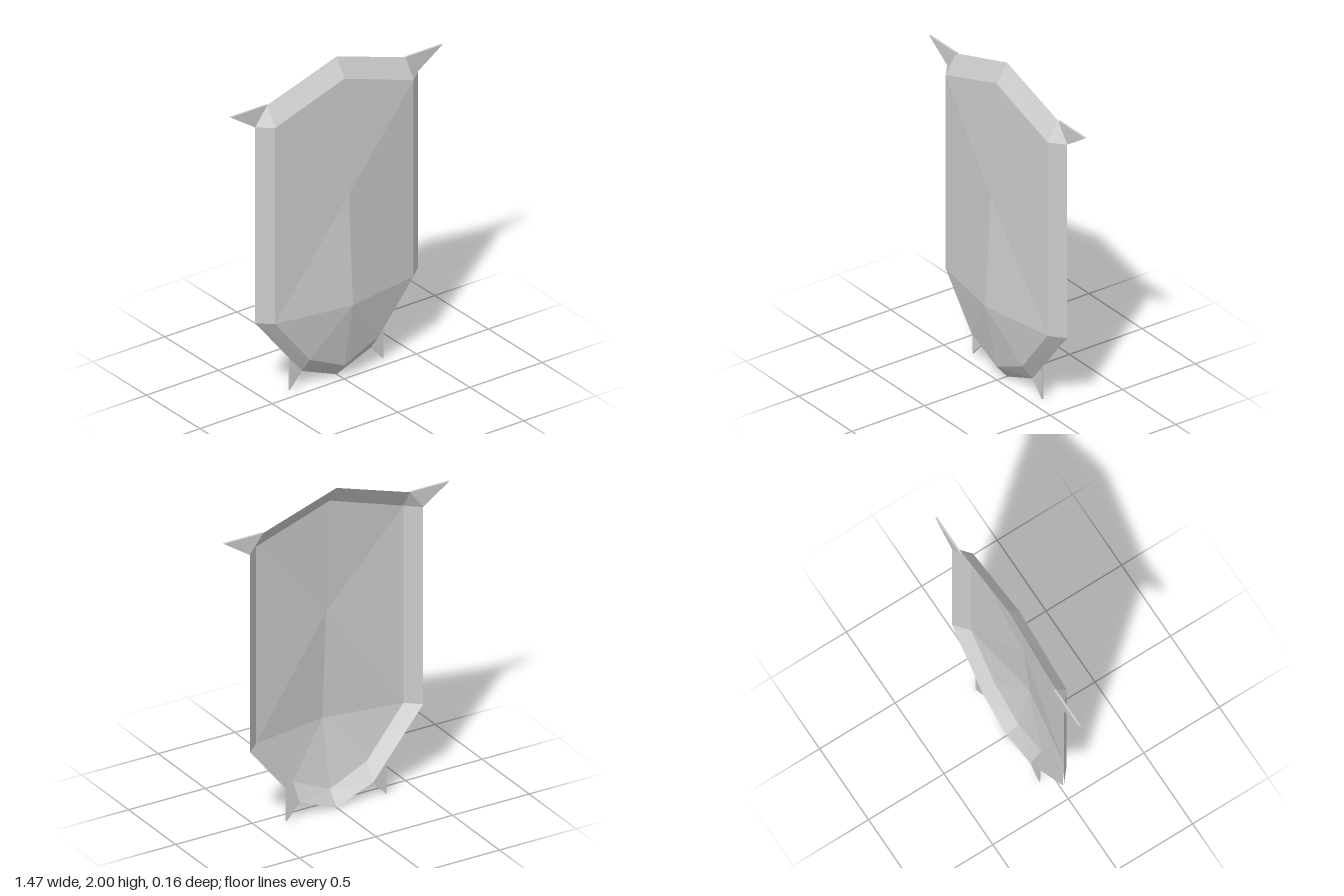
import * as THREE from 'three';

const T = 0.012; // sheet thickness
const material = new THREE.MeshStandardMaterial({ color: 0xcccccc, flatShading: true });

// Thin sheet from the triangles of its +x half: mirrored across x, with a back layer,
// and side walls along the outline given as a run of points.
function sheet(name, triangles, outline = []) {
  const pos = [];
  const back = ([x, y, z]) => [x, y, z - T];
  const add = (a, b, c) => {
    pos.push(...a, ...b, ...c);
    for (const [x, y, z] of [a, c, b]) pos.push(-x, y, z);
  };
  for (const [a, b, c] of triangles) {
    add(a, b, c);
    add(back(a), back(c), back(b));
  }
  // outline runs clockwise seen from the front
  for (let i = 0; i < outline.length - 1; i++) {
    const a = outline[i], b = outline[i + 1];
    add(a, back(a), back(b));
    add(a, back(b), b);
  }
  const geometry = new THREE.BufferGeometry();
  geometry.setAttribute('position', new THREE.Float32BufferAttribute(pos, 3));
  geometry.computeVertexNormals();
  const mesh = new THREE.Mesh(geometry, material);
  mesh.name = name;
  return mesh;
}

// Flat pointed fin lying in the plane of the rim
function fin(name, points) {
  const shape = new THREE.Shape(points.map(([x, y]) => new THREE.Vector2(x, y)));
  const geometry = new THREE.ExtrudeGeometry(shape, { depth: T, bevelEnabled: false });
  geometry.translate(0, 0, -0.07 - T);
  const mesh = new THREE.Mesh(geometry, material);
  mesh.name = name;
  return mesh;
}

export function createModel() {
  const group = new THREE.Group();
  group.name = 'shield';

  // Half outlines from top to bottom: outer rim and raised face edge
  const outer = [[0, 2], [0.48, 1.845], [0.565, 1.73], [0.565, 0.5], [0.24, 0.1], [0, 0.005]]
    .map(([x, y]) => [x, y, -0.07]);
  const edge = [[0, 1.89], [0.48, 1.73], [0.48, 1.73], [0.48, 0.5], [0.24, 0.2], [0, 0.09]]
    .map(([x, y]) => [x, y, 0.002]);

  // Faceted face: upper fan around the middle, lower fan around the boss
  const middle = [0, 1.18, 0.043], boss = [0, 0.5, 0.081];
  const [top, shoulder, , hip, toe, tip] = edge;
  group.add(sheet('face', [
    [middle, shoulder, top], [middle, hip, shoulder], [middle, boss, hip],
    [boss, toe, hip], [boss, tip, toe],
  ]));

  // Sloping border, with a single triangle at each shoulder
  const border = [];
  for (let i = 0; i < outer.length - 1; i++) {
    border.push([outer[i], edge[i + 1], outer[i + 1]]);
    if (i !== 1) border.push([outer[i], edge[i], edge[i + 1]]);
  }
  group.add(sheet('border', border, outer));

  // Shoulder spikes and lower fins
  for (const [side, s] of [['left', 1], ['right', -1]]) {
    group.add(fin(side + 'ShoulderSpike', [[s * 0.48, 1.845], [s * 0.565, 1.73], [s * 0.735, 1.845]]));
    group.add(fin(side + 'LowerFin', [[s * 0.24, 0.1], [s * 0.325, 0.005], [s * 0.325, 0.204]]));
  }
  return group;
}
